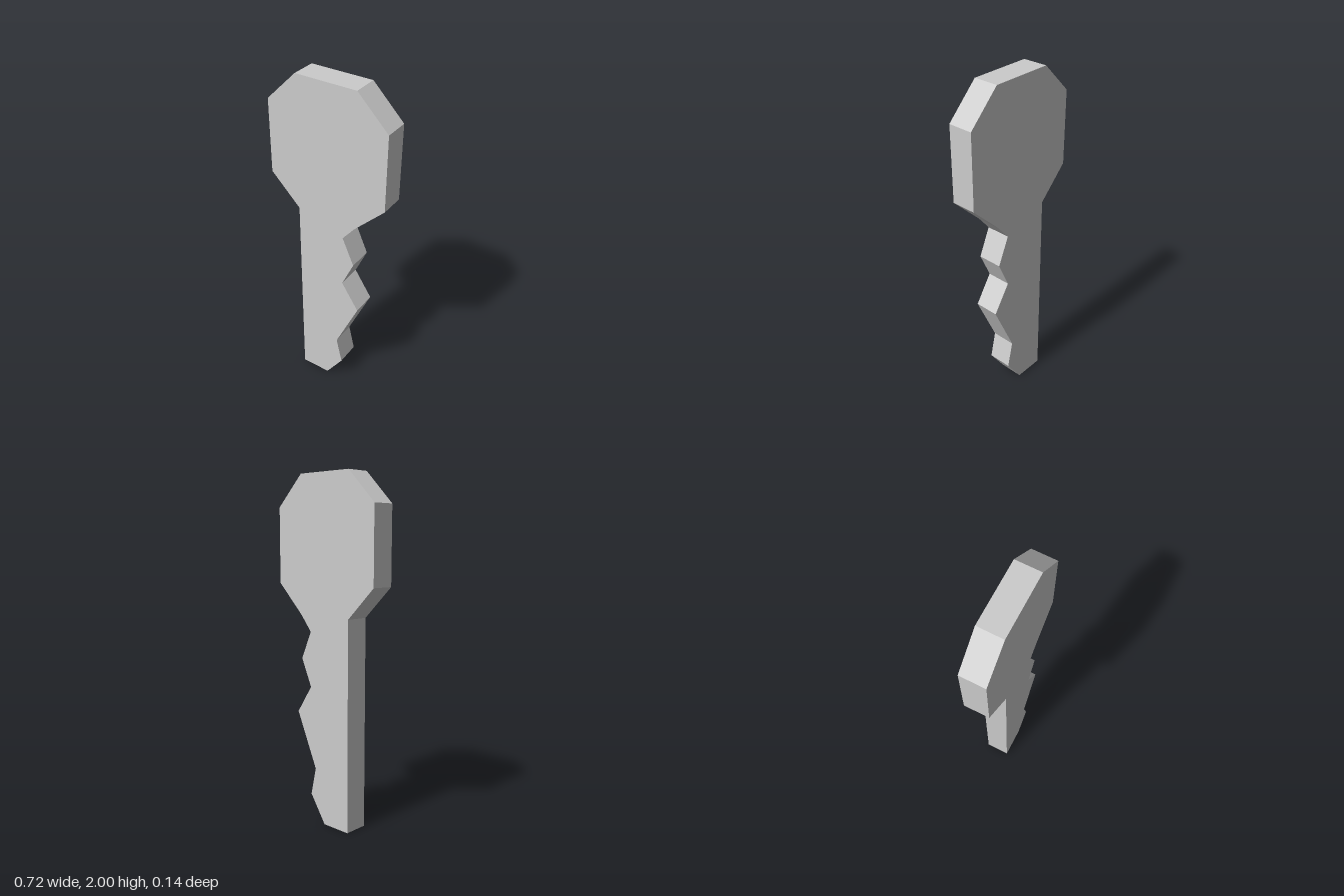
import * as THREE from 'three';

const DEPTH = 0.143;

export function createModel() {
  const group = new THREE.Group();
  group.name = 'key';

  // Toothed edge of the blade, from the tip up to the bow
  const teeth = [
    [0, 0], [0.107, 0.16], [0.071, 0.322], [0.213, 0.643],
    [0.107, 0.803], [0.178, 0.963], [0.107, 1.123], [0.18, 1.213],
  ];
  // Octagonal bow (handle), counter-clockwise from its lower right side
  const bow = [
    [0.358, 1.39], [0.358, 1.823], [0.179, 2], [-0.18, 2],
    [-0.358, 1.823], [-0.358, 1.39],
  ];
  // Straight back of the blade
  const back = [[-0.18, 1.213], [-0.18, 0]];

  const outline = [...teeth, ...bow, ...back].map(([x, y]) => new THREE.Vector2(x, y));
  const geometry = new THREE.ExtrudeGeometry(new THREE.Shape(outline), {
    depth: DEPTH,
    bevelEnabled: false,
  });
  geometry.translate(0, 0, -DEPTH / 2);

  const material = new THREE.MeshStandardMaterial({ color: 0xcccccc, flatShading: true });
  const body = new THREE.Mesh(geometry, material);
  body.name = 'bowAndBlade';
  group.add(body);
  return group;
}
